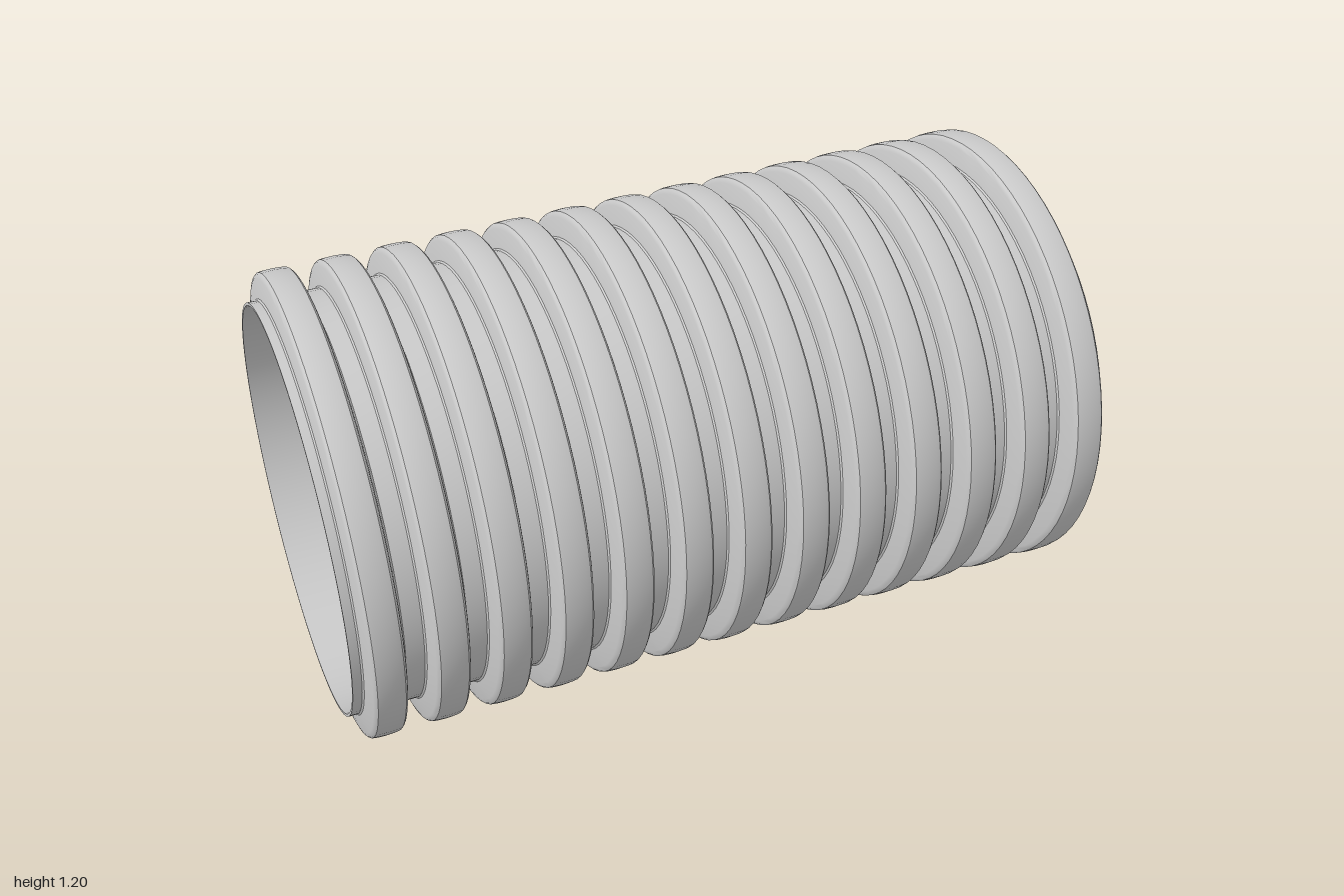
import * as THREE from 'three';
import { toCreasedNormals } from 'three/addons/utils/BufferGeometryUtils.js';

const RIBS = 13, PITCH = 2 / RIBS;
const INNER = 0.523, VALLEY = 0.53, CREST = 0.6;

// Half of a rib's cross-section: [distance from rib centre, radius], base to crest
const HALF_RIB = [
  [0.054, VALLEY], [0.05, VALLEY + 0.004], [0.042, 0.583],
  [0.039, 0.592], [0.034, 0.597], [0.022, 0.599], [0, CREST],
];

export function createModel() {
  const group = new THREE.Group();
  group.name = 'corrugatedPipe';

  // Outer corrugated wall, then back along the smooth bore
  const profile = [new THREE.Vector2(INNER, -1), new THREE.Vector2(VALLEY, -1)];
  for (let i = 0; i < RIBS; i++) {
    const centre = -1 + PITCH * (i + 0.5);
    for (const [d, r] of HALF_RIB) profile.push(new THREE.Vector2(r, centre - d));
    for (const [d, r] of HALF_RIB.slice(0, -1).reverse()) profile.push(new THREE.Vector2(r, centre + d));
  }
  profile.push(new THREE.Vector2(VALLEY, 1), new THREE.Vector2(INNER, 1), new THREE.Vector2(INNER, -1));

  // Revolve, then lay the axis along x
  const geometry = toCreasedNormals(new THREE.LatheGeometry(profile, 72), 0.55);
  geometry.rotateZ(-Math.PI / 2);

  const pipe = new THREE.Mesh(geometry, new THREE.MeshStandardMaterial({ color: 0xcccccc, side: THREE.DoubleSide }));
  pipe.name = 'ribbedPipeWall';
  pipe.position.y = CREST;
  group.add(pipe);
  return group;
}
